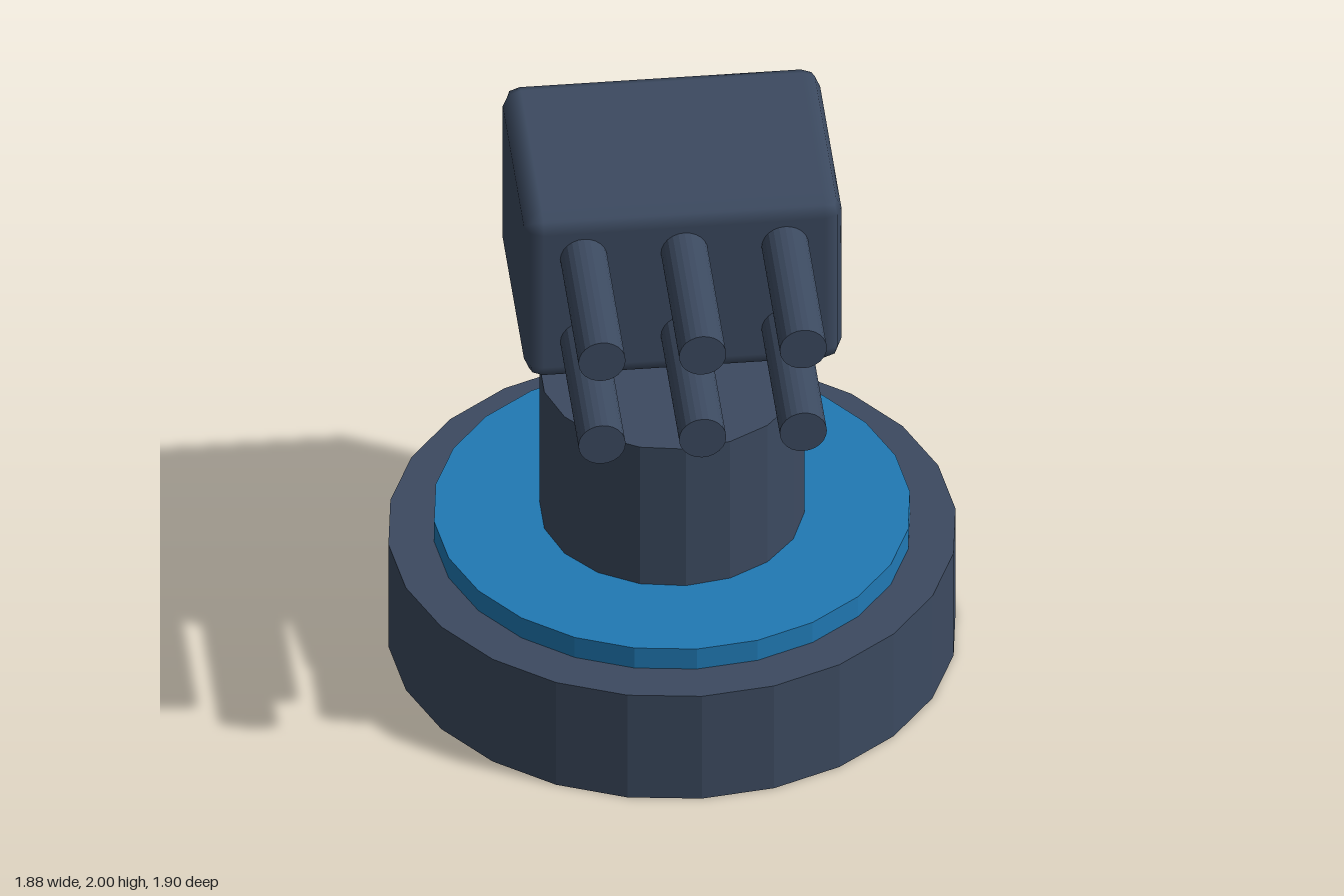
import * as THREE from 'three';
import { RoundedBoxGeometry } from 'three/addons/geometries/RoundedBoxGeometry.js';

export function createModel() {
  const model = new THREE.Group();
  model.name = 'turret';

  const slate = new THREE.MeshStandardMaterial({ color: 0x3c4a60 });
  slate.name = 'slate';
  const blue = new THREE.MeshStandardMaterial({ color: 0x2079b4 });
  blue.name = 'blue';

  const axisZ = -0.013; // the stand and head share this vertical axis

  const add = (name, geometry, material, x, y, z) => {
    const mesh = new THREE.Mesh(geometry, material);
    mesh.name = name;
    mesh.position.set(x, y, z);
    model.add(mesh);
    return mesh;
  };

  // Faceted cylinder with hard facet edges
  const faceted = (radius, length, sides) => {
    const g = new THREE.CylinderGeometry(radius, radius, length, sides).toNonIndexed();
    g.computeVertexNormals();
    return g;
  };

  const disc = (name, radius, bottom, top, sides, material) =>
    add(name, faceted(radius, top - bottom, sides), material, 0, (bottom + top) / 2, axisZ);

  // Stand: wide base, coloured ring plate, pillar
  disc('base', 0.938, 0, 0.42, 24, slate);
  disc('ringPlate', 0.787, 0.42, 0.502, 24, blue);
  disc('pillar', 0.437, 0.502, 1.063, 18, slate);

  // Floating head with softly bevelled edges
  add('head', new RoundedBoxGeometry(1.05, 0.66, 0.785, 1, 0.06), slate, 0, 1.67, axisZ);

  // Two rows of three barrels pointing forward
  const back = 0.3, front = 0.952;
  const barrel = faceted(0.078, front - back, 24).rotateX(Math.PI / 2);
  for (const y of [1.5, 1.84]) {
    for (const x of [-0.333, 0, 0.333]) {
      add('barrel', barrel, slate, x, y, (back + front) / 2);
    }
  }

  return model;
}
